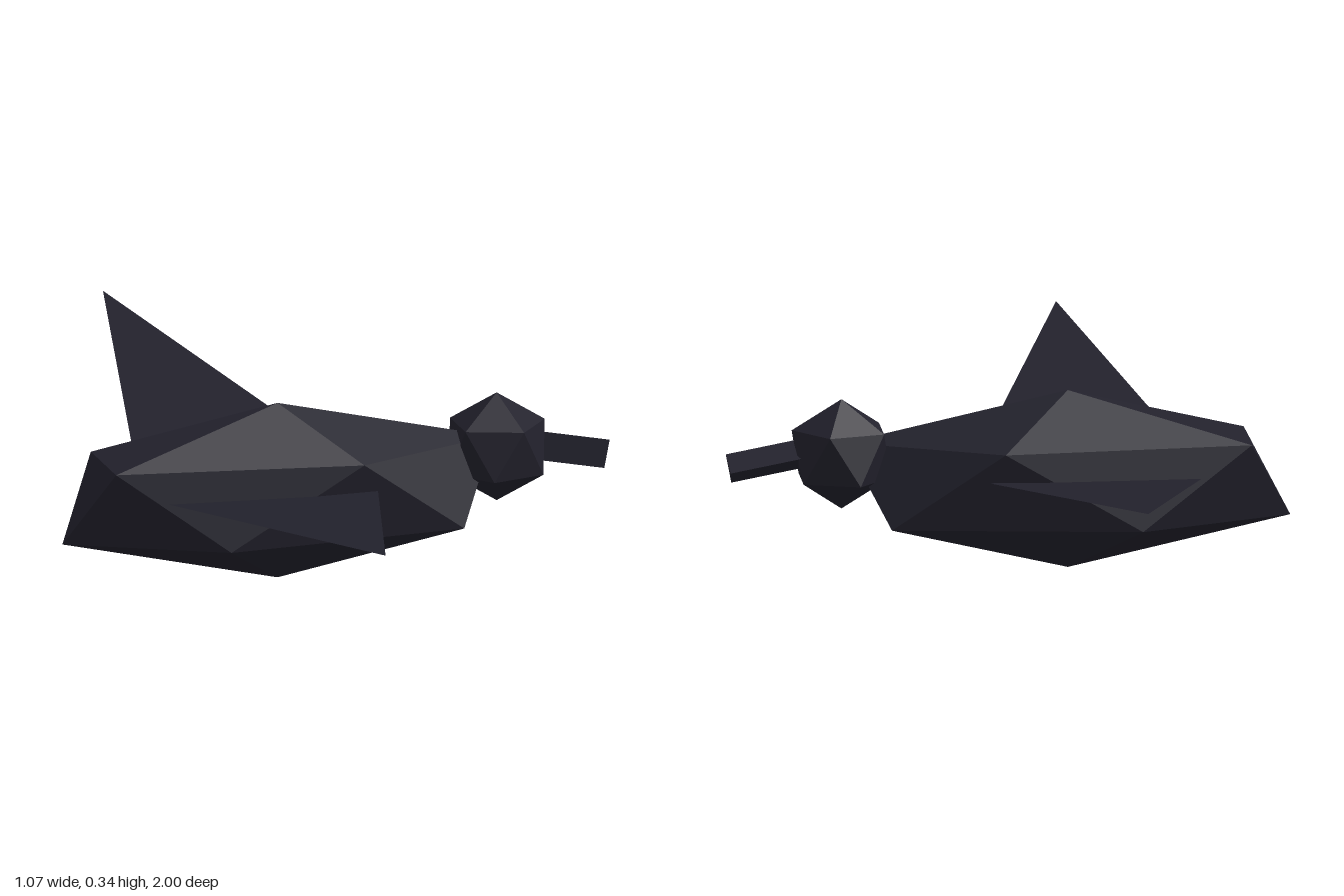
import * as THREE from 'three';

export function createModel() {
  const model = new THREE.Group();
  model.name = 'bird';

  const feathers = new THREE.MeshStandardMaterial({ color: 0x22212c, flatShading: true });
  feathers.name = 'black feathers';
  const wingFeathers = feathers.clone();
  wingFeathers.side = THREE.DoubleSide;

  const add = (name, geometry, material = feathers) => {
    const mesh = new THREE.Mesh(geometry, material);
    mesh.name = name;
    model.add(mesh);
    return mesh;
  };

  // Icosahedron turned so that one corner points straight up
  const uprightIcosahedron = () =>
    new THREE.IcosahedronGeometry(1, 0).rotateZ(-Math.atan(2 / (1 + Math.sqrt(5))));

  // Long faceted body and small faceted head
  add('body', uprightIcosahedron().scale(0.47, 0.17, 0.152 / 0.8944).translate(-0.115, 0.17, 0));
  add('head', uprightIcosahedron().scale(0.105, 0.105, 0.105).translate(0.313, 0.225, 0));

  // Three-sided beak, flat side towards +z, dipping slightly forwards
  const beak = new THREE.CylinderGeometry(0.032, 0.032, 0.2, 3);
  beak.rotateY(Math.PI).rotateZ(-Math.PI / 2 - 0.19);
  add('beak', beak.translate(0.427, 0.217, -0.004));

  // Flat triangular wings, rising towards the tips
  for (const side of [1, -1]) {
    const wing = new THREE.BufferGeometry();
    wing.setAttribute('position', new THREE.Float32BufferAttribute([
      -0.38, 0.173, 0,
      -0.18, 0.305, side,
      0.079, 0.173, 0,
    ], 3));
    wing.setIndex(side > 0 ? [0, 1, 2] : [0, 2, 1]);
    wing.computeVertexNormals();
    add(side > 0 ? 'frontWing' : 'backWing', wing, wingFeathers);
  }

  return model;
}
